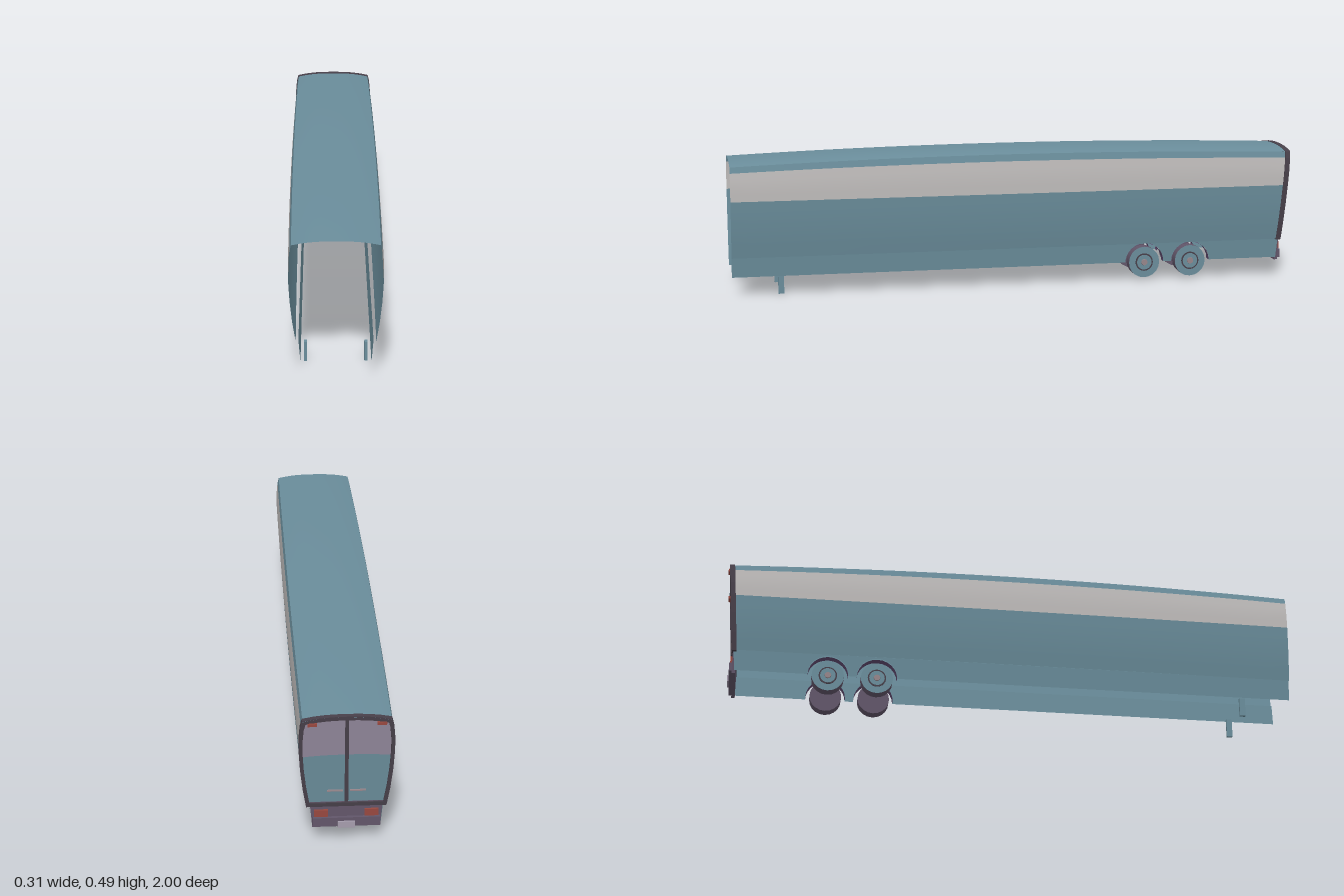
import * as THREE from 'three';

const mat = (name, color) => {
  const m = new THREE.MeshStandardMaterial({ color, side: THREE.DoubleSide });
  m.name = name;
  return m;
};

// half-width of the body against height, at mid length: [y, x]
const PROFILE = [[0.135, 0.13], [0.2, 0.141], [0.27, 0.149], [0.335, 0.153], [0.39, 0.1535], [0.447, 0.149], [0.474, 0.143]];
const lerp = THREE.MathUtils.lerp;
const halfWidth = (y) => {
  let i = 0;
  while (i < PROFILE.length - 2 && y > PROFILE[i + 1][0]) i++;
  const [a, b] = [PROFILE[i], PROFILE[i + 1]];
  return lerp(a[1], b[1], (y - a[0]) / (b[0] - a[0]));
};
// the top sinks towards both ends and the sides draw in
const sink = (y, z) => y - 0.02 * z * z * THREE.MathUtils.clamp((y - 0.335) / 0.139, 0, 1);
const taper = (z) => 1 - 0.035 * z * z;
// rear face leans forward at the bottom
const rearZ = (y) => -1 + Math.max(0, 0.465 - y) * 0.075;
const crown = (u) => 0.013 * (1 - Math.pow(Math.abs(u), 2.5));

// sheet swept by a rule over u, v in 0..1
function sheet(nu, nv, fn) {
  const pos = [], idx = [];
  for (let j = 0; j <= nv; j++) {
    for (let i = 0; i <= nu; i++) {
      pos.push(...fn(i / nu, j / nv));
      if (i < nu && j < nv) {
        const a = j * (nu + 1) + i, b = a + nu + 1;
        idx.push(a, a + 1, b, a + 1, b + 1, b);
      }
    }
  }
  const g = new THREE.BufferGeometry();
  g.setAttribute('position', new THREE.Float32BufferAttribute(pos, 3));
  g.setIndex(idx);
  g.computeVertexNormals();
  return g;
}

export function createModel() {
  const teal = mat('teal paint', 0x6a8d9b);
  const pale = mat('pale grey band', 0xbfbcbb);
  const mauve = mat('mauve door panel', 0x91879a);
  const dark = mat('dark trim', 0x48404a);
  const plum = mat('plum rubber', 0x62566a);
  const violet = mat('violet wheel arch', 0x614b72);
  const red = mat('red lamp', 0x97483f);
  const hubGrey = mat('hub grey', 0x96858a);
  const plateGrey = mat('plate grey', 0xa59cac);

  const group = new THREE.Group();
  const add = (name, geo, material, x = 0, y = 0, z = 0, parent = group) => {
    const m = new THREE.Mesh(geo, material);
    m.name = name;
    m.position.set(x, y, z);
    parent.add(m);
    return m;
  };
  const box = (name, material, w, h, d, x, y, z) => add(name, new THREE.BoxGeometry(w, h, d), material, x, y, z);

  // side walls in three strips: lower, band, upper
  const wall = (s, y0, y1, rows) => sheet(28, rows, (u, v) => {
    const yn = lerp(y0, y1, v);
    const zn = lerp(1, -1, u);
    const y = sink(yn, zn);
    return [s * halfWidth(yn) * taper(zn), y, lerp(1, rearZ(y), u)];
  });
  for (const s of [1, -1]) {
    const side = s > 0 ? 'left' : 'right';
    add(side + 'WallLower', wall(s, 0.135, 0.335, 6), teal);
    add(side + 'WallBand', wall(s, 0.335, 0.45, 4), pale);
    add(side + 'WallUpper', wall(s, 0.45, 0.474, 1), teal);
  }

  // arched roof
  add('roof', sheet(28, 12, (u, v) => {
    const z = lerp(1, -1, u), k = lerp(-1, 1, v);
    return [k * halfWidth(0.474) * taper(z), 0.474 - 0.02 * z * z + crown(k), z];
  }), teal);

  // rear doors, split by colour
  const door = (v0, v1) => sheet(12, 8, (u, v) => {
    const k = lerp(-1, 1, u), t = lerp(v0, v1, v);
    const y = lerp(0.145, 0.453 + crown(k), t);
    return [k * halfWidth(lerp(0.145, 0.474, t)) * 0.96, y, rearZ(y) + 0.008];
  });
  add('rearDoorLower', door(0, 0.56), teal);
  add('rearDoorUpper', door(0.56, 1), mauve);

  // rim around the doors
  const outline = (k) => {
    const half = PROFILE.map(([y, x]) => [x * 0.965, sink(y, 1)]);
    for (const u of [0.75, 0.5, 0.25]) half.push([u * 0.138, 0.454 + crown(u)]);
    const all = [...half, [0, 0.467], ...half.slice().reverse().map(([x, y]) => [-x, y])];
    return all.map(([x, y]) => new THREE.Vector2(x * k, 0.3 + (y - 0.3) * k));
  };
  const rim = new THREE.Shape(outline(1.015));
  rim.holes.push(new THREE.Path(outline(0.935)));
  const rimGeo = new THREE.ExtrudeGeometry(rim, { depth: 0.018, bevelEnabled: false });
  const rp = rimGeo.attributes.position;
  for (let i = 0; i < rp.count; i++) rp.setZ(i, rp.getZ(i) + rearZ(rp.getY(i)));
  rimGeo.computeVertexNormals();
  add('rearRim', rimGeo, dark);

  // door seam
  add('doorSeam', sheet(1, 1, (u, v) => {
    const y = lerp(0.148, 0.455, v);
    return [lerp(-0.006, 0.006, u), y, rearZ(y) + 0.003];
  }), dark);

  // tail panel and bumper
  const tail = new THREE.Shape([[-0.108, 0.055], [0.108, 0.055], [0.116, 0.147], [-0.116, 0.147]].map((p) => new THREE.Vector2(...p)));
  add('tailPanel', new THREE.ExtrudeGeometry(tail, { depth: 0.012, bevelEnabled: false }), plum, 0, 0, -0.97);
  box('bumper', plum, 0.216, 0.03, 0.02, 0, 0.078, -0.97);
  box('numberPlate', plateGrey, 0.055, 0.022, 0.006, 0, 0.07, -0.983);

  // skirt outline with two wheel arches
  const wheelZ = [-0.47, -0.64];
  const skirt = new THREE.Shape();
  skirt.moveTo(1, 0.14);
  skirt.lineTo(1, 0.065);
  for (const z of wheelZ) skirt.absarc(z, 0.065, 0.07, 0, Math.PI, false);
  skirt.lineTo(-0.962, 0.065);
  skirt.lineTo(-0.968, 0.14);
  skirt.closePath();

  for (const s of [1, -1]) {
    const side = s > 0 ? 'left' : 'right';
    const g = new THREE.ShapeGeometry(skirt, 14);
    const p = g.attributes.position;
    for (let i = 0; i < p.count; i++) {
      const z = p.getX(i), y = p.getY(i);
      p.setXYZ(i, s * lerp(0.111, 0.117, (y - 0.065) / 0.075), y, z);
    }
    g.computeVertexNormals();
    add(side + 'Skirt', g, teal);

    // wheels, arch linings
    wheelZ.forEach((z, n) => {
      const wheel = new THREE.Group();
      wheel.name = side + 'Wheel' + (n + 1);
      wheel.position.set(s * 0.09, 0.064, z);
      wheel.rotation.z = -s * Math.PI / 2;
      group.add(wheel);
      add('tyre', new THREE.CylinderGeometry(0.056, 0.056, 0.038, 20), [plum, teal, plum], 0, 0, 0, wheel);
      add('rimRing', new THREE.CylinderGeometry(0.032, 0.032, 0.004, 20), dark, 0, 0.019, 0, wheel);
      add('rimDisc', new THREE.CylinderGeometry(0.027, 0.027, 0.004, 20), teal, 0, 0.0205, 0, wheel);
      add('hub', new THREE.CylinderGeometry(0.011, 0.013, 0.007, 12), hubGrey, 0, 0.022, 0, wheel);
      add(side + 'ArchLining' + (n + 1), sheet(12, 1, (u, v) => [
        s * lerp(0.083, 0.112, v), 0.065 + 0.068 * Math.sin(u * Math.PI), z + 0.07 * Math.cos(u * Math.PI),
      ]), violet);
    });

    // support legs, lamps, door handles
    box(side + 'SupportLeg', teal, 0.01, 0.066, 0.02, s * 0.097, 0.033, 0.83);
    box(side + 'TailLamp', red, 0.045, 0.024, 0.008, s * 0.08, 0.108, -0.973);
    box(side + 'TopLamp', red, 0.03, 0.01, 0.008, s * 0.108, 0.443, -0.999);
    box(side + 'DoorHandle', hubGrey, 0.05, 0.004, 0.006, s * 0.036, 0.192, -0.977);
  }
  return group;
}
